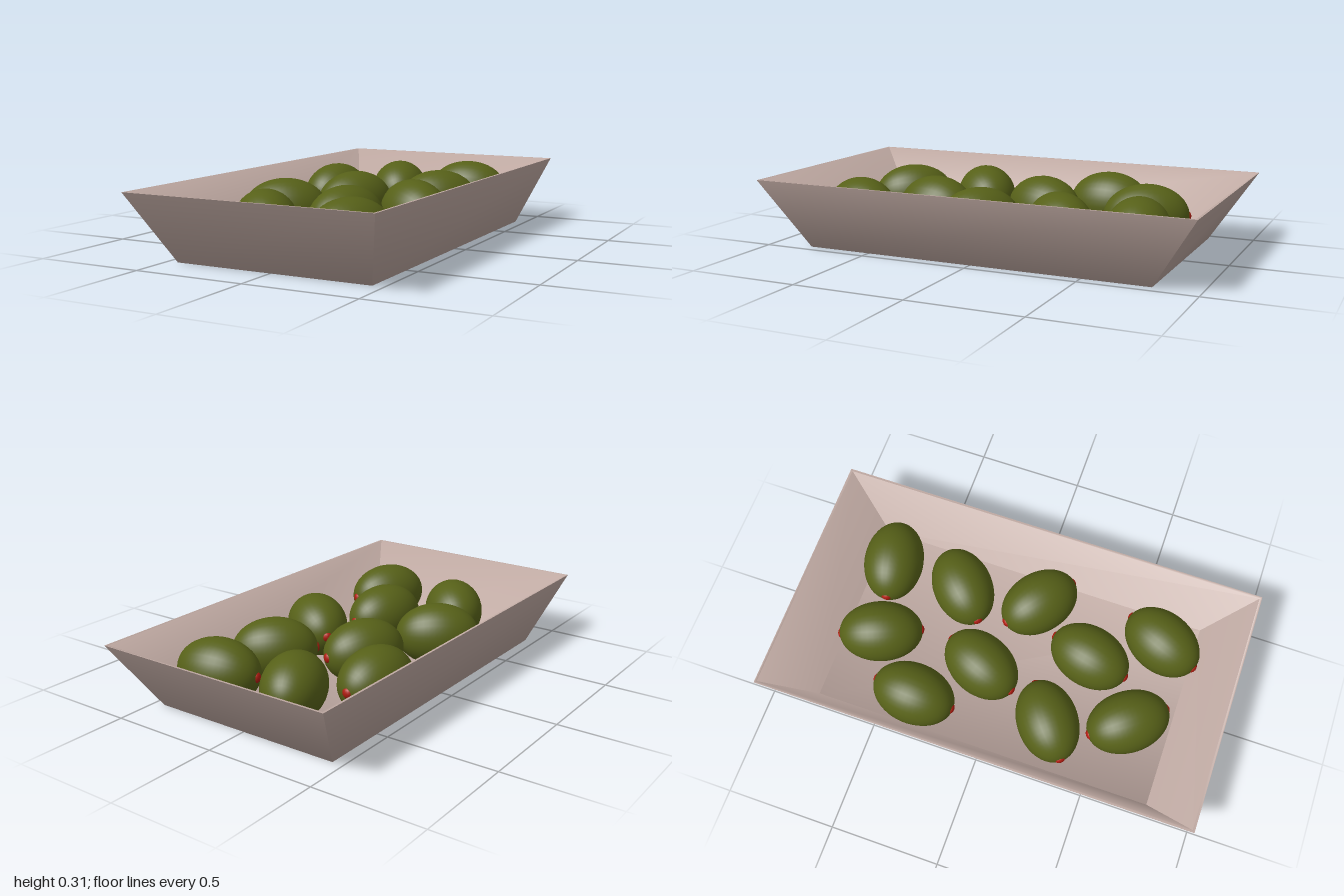
import * as THREE from 'three';
import { toCreasedNormals } from 'three/addons/utils/BufferGeometryUtils.js';

const trayMaterial = new THREE.MeshStandardMaterial({ color: 0xbfa9a2 });
const oliveMaterial = new THREE.MeshStandardMaterial({ color: 0x566018 });
const pimentoMaterial = new THREE.MeshStandardMaterial({ color: 0xb01c10 });

// Open tray: rectangular rings lofted up the outside, over the rim and down the inside
function createTray() {
  const rings = [ // half width, height, half depth
    [0.45, 0, 0.8],
    [0.563, 0.31, 1],
    [0.553, 0.31, 0.99],
    [0.444, 0.012, 0.794],
  ];
  const points = [];
  for (const [x, y, z] of rings) {
    points.push(x, y, z, x, y, -z, -x, y, -z, -x, y, z);
  }
  const faces = [0, 3, 2, 0, 2, 1]; // underside
  for (let r = 0; r < rings.length - 1; r++) {
    for (let i = 0; i < 4; i++) {
      const a = r * 4 + i, b = r * 4 + (i + 1) % 4;
      faces.push(a, b, b + 4, a, b + 4, a + 4);
    }
  }
  faces.push(12, 13, 14, 12, 14, 15); // inner floor
  const geometry = new THREE.BufferGeometry();
  geometry.setAttribute('position', new THREE.Float32BufferAttribute(points, 3));
  geometry.setIndex(faces);
  // Walls blend into the floor, while the upright corners stay sharp
  const mesh = new THREE.Mesh(toCreasedNormals(geometry, THREE.MathUtils.degToRad(75)), trayMaterial);
  mesh.name = 'tray';
  return mesh;
}

const oliveGeometry = new THREE.SphereGeometry(1, 32, 24).rotateZ(Math.PI / 2).scale(0.191, 0.143, 0.138);
const pimentoGeometry = new THREE.SphereGeometry(0.024, 12, 8).scale(0.7, 1, 1);

// Olive lying on its side with a bit of pimento at each tip
function createOlive(x, y, z, degrees) {
  const olive = new THREE.Group();
  olive.name = 'olive';
  const flesh = new THREE.Mesh(oliveGeometry, oliveMaterial);
  flesh.name = 'oliveFlesh';
  olive.add(flesh);
  for (const side of [-1, 1]) {
    const pimento = new THREE.Mesh(pimentoGeometry, pimentoMaterial);
    pimento.name = 'pimento';
    pimento.position.x = side * 0.182;
    olive.add(pimento);
  }
  olive.position.set(x, y, z);
  olive.rotation.y = THREE.MathUtils.degToRad(degrees);
  return olive;
}

export function createModel() {
  const model = new THREE.Group();
  model.name = 'oliveTray';
  model.add(createTray());

  // x, y, z, turn in degrees
  const olives = [
    [-0.107, 0.158, -0.6, 112],
    [0.24, 0.168, -0.672, 10],
    [-0.338, 0.158, -0.35, 86],
    [0.227, 0.158, -0.322, 42],
    [-0.107, 0.158, -0.11, 66],
    [0.27, 0.158, 0.042, 142],
    [-0.262, 0.158, 0.26, 36],
    [0.092, 0.158, 0.345, 76],
    [-0.147, 0.158, 0.6, 128],
    [0.268, 0.158, 0.637, 66],
  ];
  for (const placement of olives) model.add(createOlive(...placement));
  return model;
}
